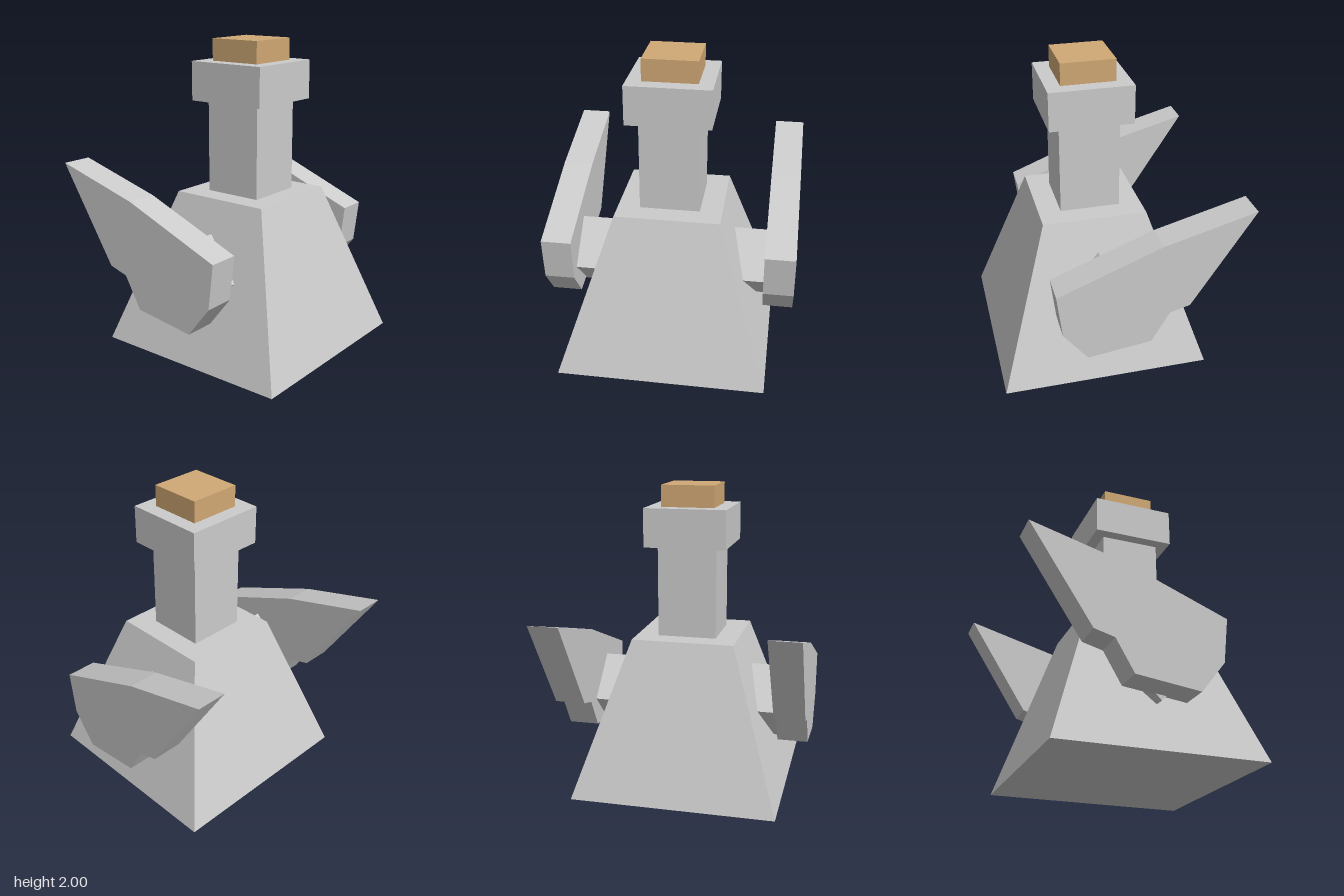
import * as THREE from 'three';

const grey = new THREE.MeshStandardMaterial({ color: 0xcccccc, flatShading: true });
const tan = new THREE.MeshStandardMaterial({ color: 0xd0a874, flatShading: true });
const AXIS_Z = 0.105; // centre line of the body stack

export function createModel() {
  const model = new THREE.Group();
  model.name = 'model';

  const add = (name, geometry, x, y, z, material = grey) => {
    const mesh = new THREE.Mesh(geometry, material);
    mesh.name = name;
    mesh.position.set(x, y, z);
    model.add(mesh);
  };

  // Square block of the stack, given its half width and height range
  const block = (name, half, y0, y1, material) =>
    add(name, new THREE.BoxGeometry(half * 2, y1 - y0, half * 2), 0, (y0 + y1) / 2, AXIS_Z, material);

  // Tapered four-sided body
  const body = new THREE.CylinderGeometry(0.336 * Math.SQRT2, 0.67 * Math.SQRT2, 1.015, 4);
  body.rotateY(Math.PI / 4);
  add('body', body, 0, 0.5075, AXIS_Z);

  // Neck, collar and stopper
  block('neck', 0.193, 1.015, 1.61);
  block('collar', 0.267, 1.61, 1.86);
  block('stopper', 0.173, 1.86, 2, tan);

  // Diamond-section axle running through the body
  const axle = new THREE.CylinderGeometry(0.25, 0.25, 1.28, 4);
  axle.rotateZ(Math.PI / 2);
  add('axle', axle, 0, 0.555, 0.103);

  // Wing outline as (z, y), extruded sideways
  const outline = [
    [0.46, 0.8], [0.425, 0.515], [0.27, 0.317], [-0.135, 0.368],
    [-0.25, 0.568], [-0.378, 0.603], [-0.772, 1.215], [-0.19, 1.057],
  ].map(([z, y]) => new THREE.Vector2(z, y));
  const wing = new THREE.ExtrudeGeometry(new THREE.Shape(outline), { depth: 0.197, bevelEnabled: false });
  wing.translate(0, 0, -0.0985);
  wing.rotateY(-Math.PI / 2);
  add('leftWing', wing, 0.72, 0, 0);
  add('rightWing', wing, -0.72, 0, 0);

  return model;
}
